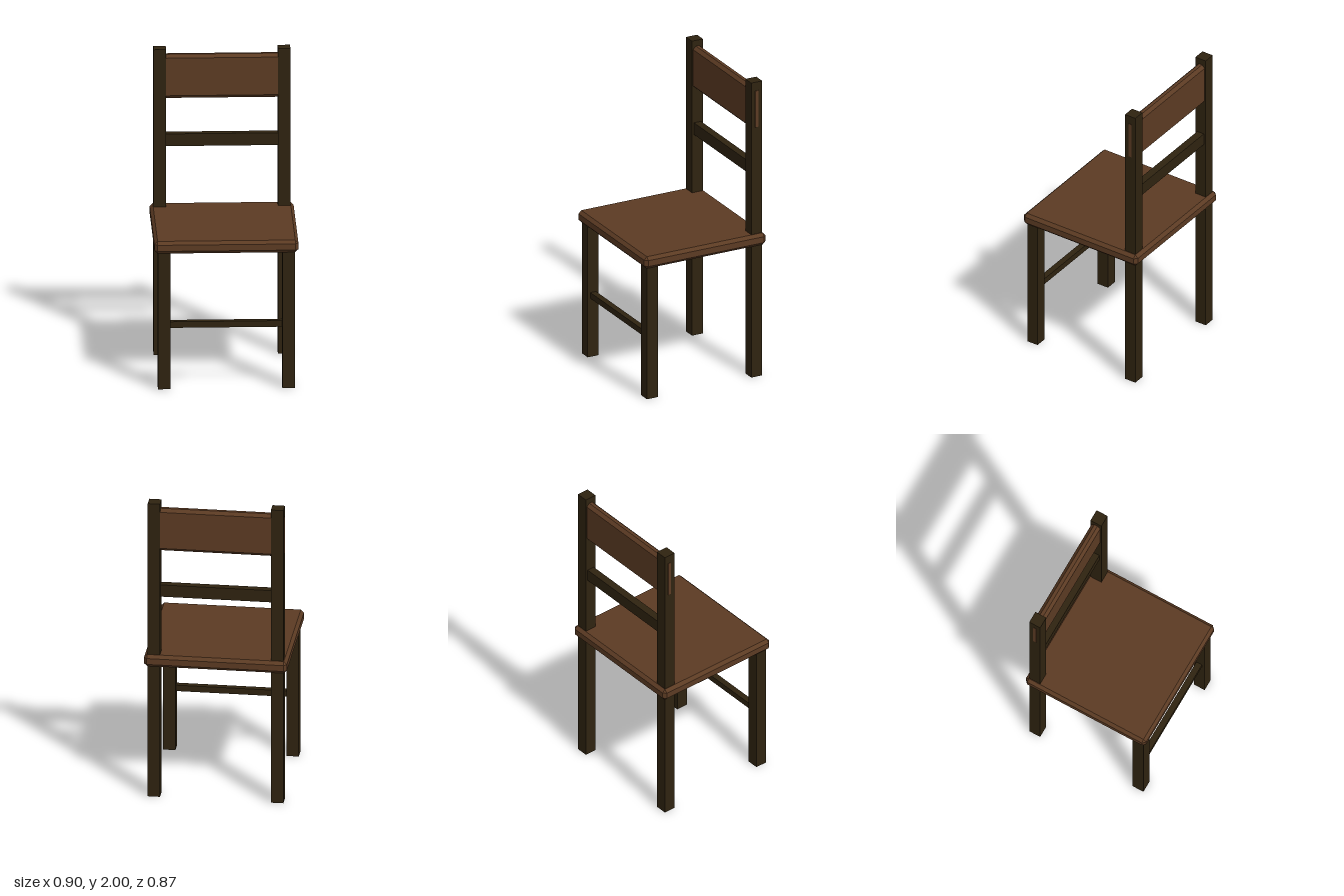
import * as THREE from 'three';
import { ConvexGeometry } from 'three/addons/geometries/ConvexGeometry.js';

const brown = new THREE.MeshStandardMaterial({ color: 0x5c3b23 });
brown.name = 'warmBrownWood';
const dark = new THREE.MeshStandardMaterial({ color: 0x2f2310 });
dark.name = 'darkWood';

// box with every edge chamfered by c
function chamferedBox(w, h, d, c) {
  const pts = [];
  const [x, y, z] = [w / 2, h / 2, d / 2];
  for (const i of [-1, 1]) for (const j of [-1, 1]) for (const k of [-1, 1]) {
    pts.push(
      new THREE.Vector3(i * x, j * (y - c), k * (z - c)),
      new THREE.Vector3(i * (x - c), j * y, k * (z - c)),
      new THREE.Vector3(i * (x - c), j * (y - c), k * z),
    );
  }
  return new ConvexGeometry(pts);
}

export function createModel() {
  const chair = new THREE.Group();
  chair.name = 'chair';

  const add = (name, geometry, material, x, y, z) => {
    const mesh = new THREE.Mesh(geometry, material);
    mesh.name = name;
    mesh.position.set(x, y, z);
    chair.add(mesh);
  };

  // legs; the back ones run up into the backrest posts
  const legX = 0.39, legZ = 0.372, legW = 0.078;
  for (const [side, s] of [['left', 1], ['right', -1]]) {
    add(side + 'FrontLeg', new THREE.BoxGeometry(legW, 0.92, legW), dark, s * legX, 0.46, legZ);
    add(side + 'BackPost', new THREE.BoxGeometry(legW, 2, legW), dark, s * legX, 1, -legZ);
  }

  // seat
  add('seat', chamferedBox(0.904, 0.08, 0.866, 0.02), brown, 0, 0.93, 0);

  // backrest panel, its tenons just showing on the outer post faces
  add('backrestPanel', chamferedBox(0.86, 0.286, 0.062, 0.02), brown, 0, 1.818, -legZ);

  // rails between the posts and the front legs
  add('backRail', new THREE.BoxGeometry(0.72, 0.08, 0.05), dark, 0, 1.403, -legZ);
  add('frontStretcher', new THREE.BoxGeometry(0.72, 0.04, 0.04), dark, 0, 0.416, legZ);

  return chair;
}
